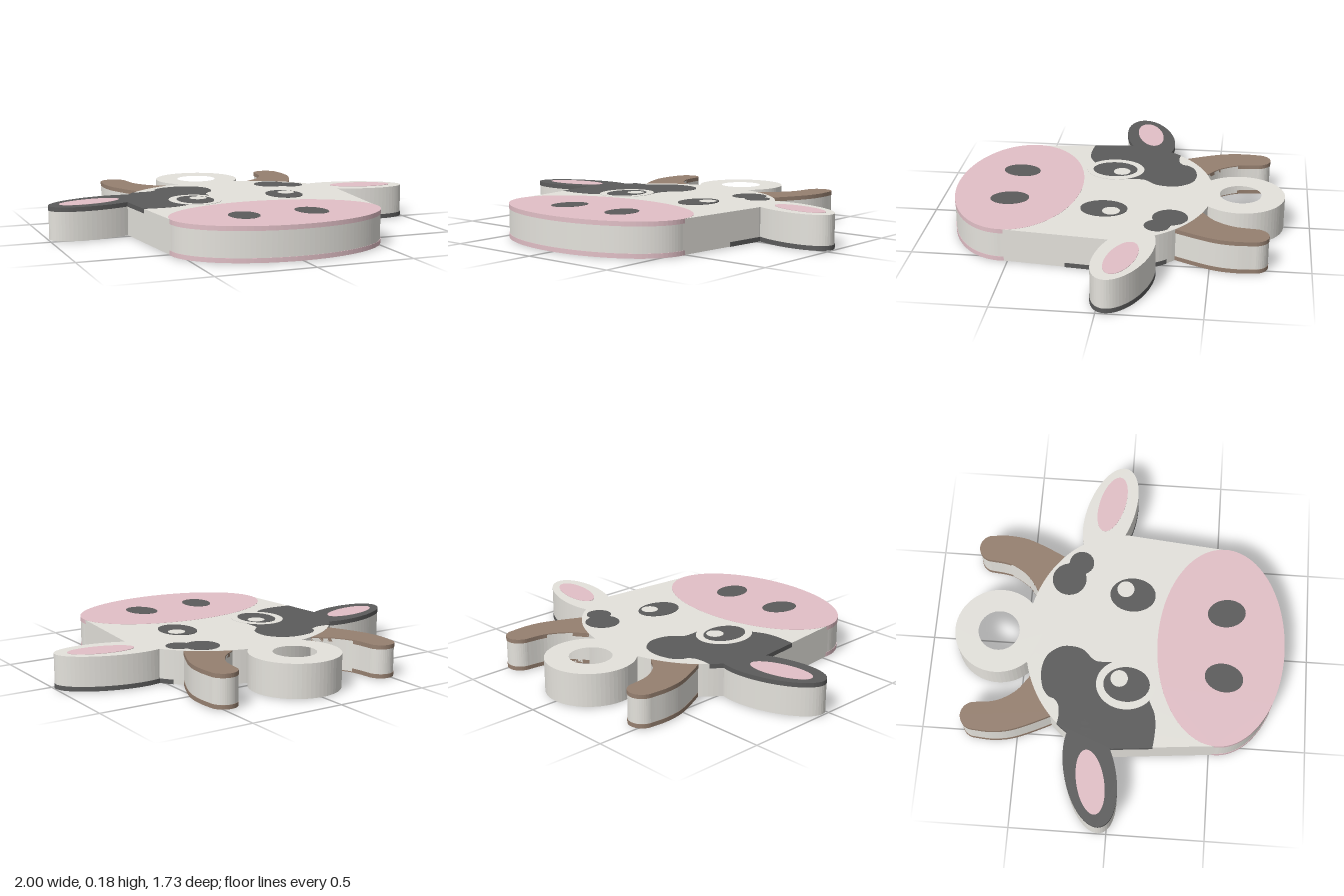
import * as THREE from 'three';

const paint = (color) => new THREE.MeshStandardMaterial({ color });
const WHITE = paint(0xe4e2dc), DARK = paint(0x5c5c5c), PINK = paint(0xe2c0c7), BROWN = paint(0x968070);
const HEIGHT = 0.18, BODY_TOP = 0.176, BAND = 0.154, LIP = 0.002;

// Plan-view points are [x, z]
function ellipse(cx, cz, rx, rz, tilt = 0, from = 0, to = Math.PI * 2, n = 64) {
  const pts = [], c = Math.cos(tilt), s = Math.sin(tilt);
  for (let i = 0; i <= n; i++) {
    const a = from + (to - from) * i / n;
    if (i === n && to - from > 6.28) break;
    const u = rx * Math.cos(a), v = rz * Math.sin(a);
    pts.push([cx + u * c - v * s, cz + u * s + v * c]);
  }
  return pts;
}

const curve = (pts, n = 48) =>
  new THREE.SplineCurve(pts.map(([x, z]) => new THREE.Vector2(x, z))).getPoints(n).map((p) => [p.x, p.y]);

const mirror = (pts) => pts.map(([x, z]) => [-x, z]);

// Upright slab with the given plan outline
function slab(name, pts, y0, y1, material, hole) {
  const vec = (list) => list.map(([x, z]) => new THREE.Vector2(x, -z));
  const shape = new THREE.Shape(vec(pts));
  if (hole) shape.holes.push(new THREE.Path(vec(hole)));
  const geo = new THREE.ExtrudeGeometry(shape, { depth: y1 - y0, bevelEnabled: false });
  geo.rotateX(-Math.PI / 2).translate(0, y0, 0);
  const mesh = new THREE.Mesh(geo, material);
  mesh.name = name;
  return mesh;
}

// Horn outline on the +x side; grow widens it slightly
function hornOutline(grow) {
  const tip = ellipse(0.47, -0.715, 0.07 + grow, 0.07 + grow, 0, Math.PI, Math.PI * 2, 20);
  const inner = curve([[0.2, -0.42], [0.25, -0.457], [0.326, -0.516], [0.382, -0.61], [0.4 - grow, -0.715]], 24);
  const outer = curve([[0.54 + grow, -0.715], [0.545 + grow, -0.62], [0.524 + grow, -0.505],
    [0.445 + grow, -0.33], [0.4, -0.26]], 24);
  return [...inner.slice(0, -1), ...tip, ...outer.slice(1)];
}

const earOutline = (grow) => ellipse(0.725, -0.1, 0.282 - LIP + grow, 0.128 + grow, 0.26);

// Coloured inlays of one face
function createFace() {
  const face = new THREE.Group();
  const inlay = (name, pts, level, material) =>
    face.add(slab(name, pts, BAND, BODY_TOP + level * 0.001, material));

  inlay('muzzle', ellipse(0, 0.53, 0.545 + LIP, 0.33 + LIP, 0, 0, Math.PI * 2, 96), 1, PINK);
  inlay('darkEar', mirror(earOutline(LIP)), 1, DARK);

  // Large patch: free inner edge, then the head's rim
  const patch = [
    ...curve([[-0.484, -0.288], [-0.44, -0.283], [-0.39, -0.288], [-0.355, -0.31], [-0.34, -0.345], [-0.29, -0.38],
      [-0.2, -0.393], [-0.12, -0.37], [-0.07, -0.31], [-0.06, -0.25], [-0.075, -0.185], [-0.12, -0.135],
      [-0.135, -0.1], [-0.133, -0.03]], 72),
    [-0.25, 0.05],
    ...curve([[-0.33, 0.175], [-0.36, 0.19], [-0.4, 0.207], [-0.46, 0.215], [-0.52, 0.213], [-0.578, 0.207]], 24),
    ...ellipse(0, 0, 0.597, 0.492, 0, Math.PI, Math.PI * 1.2, 16),
  ];
  inlay('eyePatch', patch, 1, DARK);
  inlay('eyeRing', ellipse(-0.25, 0.05, 0.135, 0.155), 2, WHITE);

  // Small patch of joined spots
  inlay('smallSpot', ellipse(0.317, -0.29, 0.09, 0.09), 1, DARK);
  inlay('smallSpot', ellipse(0.415, -0.232, 0.065, 0.065), 1, DARK);
  inlay('smallSpot', ellipse(0.37, -0.26, 0.06, 0.055), 1, DARK);

  for (const side of [-1, 1]) {
    inlay('eye', ellipse(side * 0.25, 0.053, 0.094, 0.12), 3, DARK);
    inlay('eyeHighlight', ellipse(side * 0.25 + 0.029, 0.013, 0.045, 0.045), 4, WHITE);
    inlay('nostril', ellipse(side * 0.179, 0.553, 0.077, 0.1, -side * 0.18), 2, DARK);
    const innerEar = ellipse(0.775, -0.094, 0.168, 0.07, 0.22);
    inlay('innerEar', side < 0 ? mirror(innerEar) : innerEar, 2, PINK);
    // Horn caps stay just below the head's surface
    const horn = hornOutline(LIP);
    face.add(slab('hornCap', side < 0 ? mirror(horn) : horn, BAND, BODY_TOP - 0.0008, BROWN));
  }
  return face;
}

export function createModel() {
  const model = new THREE.Group();
  const low = HEIGHT - BODY_TOP;

  // Head: elliptical crown, straight cheeks, rounded chin
  const head = [
    ...ellipse(0, 0, 0.595, 0.49, 0, Math.PI, Math.PI * 2),
    ...ellipse(0, 0.53, 0.545, 0.33, 0, 0, Math.PI),
  ];
  model.add(slab('head', head, low, BODY_TOP, WHITE));

  // Hanging loop
  model.add(slab('hangingLoop', ellipse(0, -0.634, 0.23, 0.23), low, BODY_TOP, WHITE,
    ellipse(0, -0.634, 0.108, 0.108)));

  // Ears and horn cores
  for (const side of [-1, 1]) {
    const flip = (pts) => (side < 0 ? mirror(pts) : pts);
    model.add(slab('ear', flip(earOutline(0)), low, BODY_TOP, WHITE));
    model.add(slab('hornCore', flip(hornOutline(0)), 0.01, HEIGHT - 0.01, WHITE));
  }

  // Same face on both sides, the lower one turned over
  const front = createFace();
  front.name = 'upperFace';
  const back = createFace();
  back.name = 'lowerFace';
  back.rotation.z = Math.PI;
  back.position.y = HEIGHT;
  model.add(front, back);
  return model;
}
